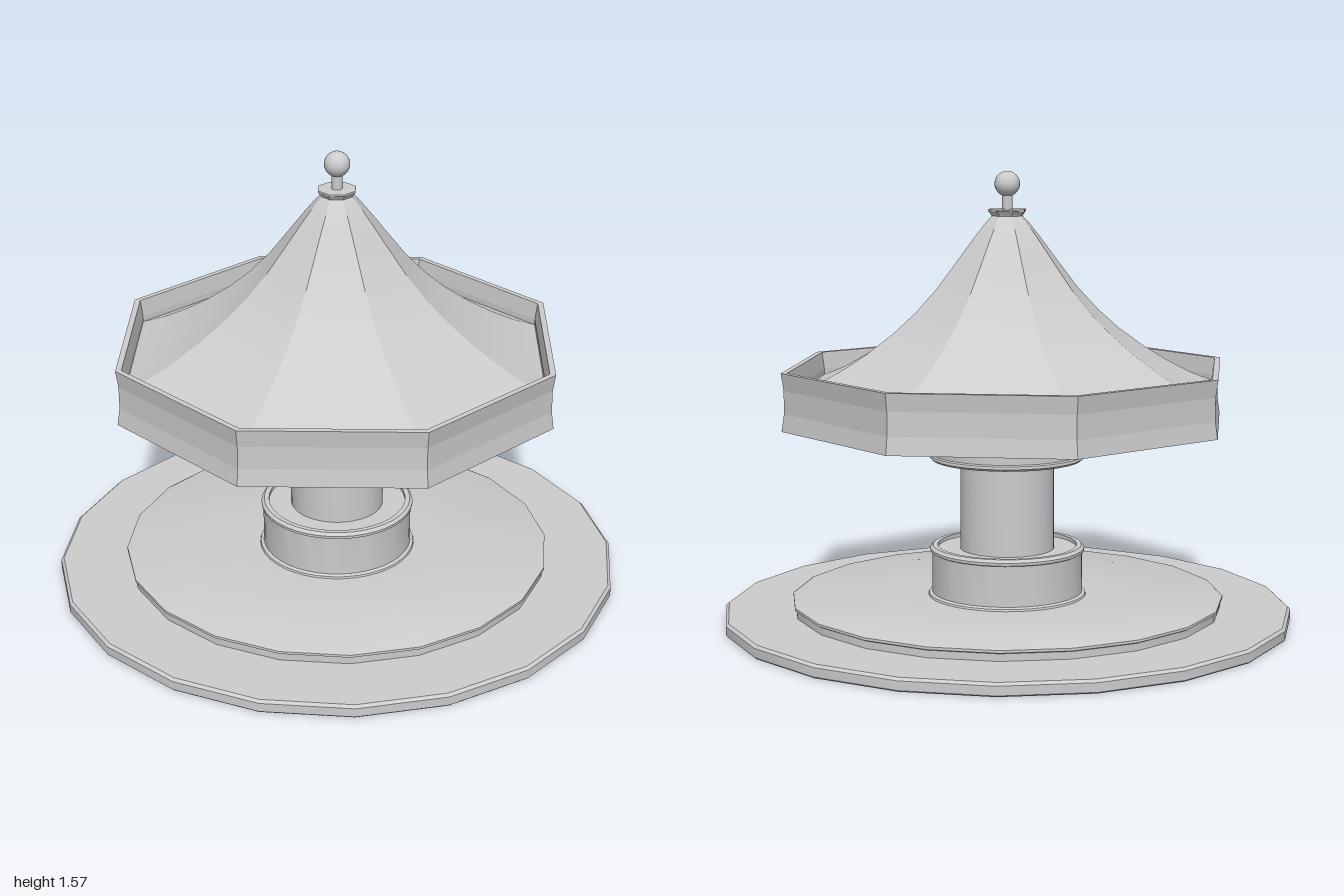
import * as THREE from 'three';
import { toCreasedNormals } from 'three/addons/utils/BufferGeometryUtils.js';

const grey = new THREE.MeshStandardMaterial({ color: 0xcccccc });
grey.name = 'plain grey';

// Turned part from [radius, height] points, listed upwards along the outside
function turned(name, points, sides, crease = 0.52) {
  const profile = points.map(([r, y]) => new THREE.Vector2(r, y));
  const geometry = toCreasedNormals(new THREE.LatheGeometry(profile, sides), crease);
  const mesh = new THREE.Mesh(geometry, grey);
  mesh.name = name;
  return mesh;
}

export function createModel() {
  const model = new THREE.Group();
  model.name = 'carousel';

  // Stepped twenty-sided platform, a thin shell that is hollow underneath
  model.add(turned('lowerPlatform', [
    [0.988, 0], [0.995, 0], [1, 0.005], [1, 0.036], [0.99, 0.045], [0.75, 0.045],
    [0.75, 0.035], [0.988, 0.035], [0.988, 0],
  ], 20));
  model.add(turned('upperPlatform', [
    [0.745, 0.035], [0.752, 0.035], [0.752, 0.07], [0.76, 0.074], [0.76, 0.083], [0.75, 0.088],
    [0.26, 0.088], [0.26, 0.078], [0.745, 0.078], [0.745, 0.035],
  ], 20));

  // Lower drum with a foot ring, a rounded lip, a sunken top and an open bottom
  model.add(turned('lowerDrum', [
    [0.258, 0.078], [0.265, 0.078], [0.265, 0.088], [0.278, 0.088], [0.276, 0.095], [0.265, 0.1],
    [0.265, 0.242], [0.271, 0.245], [0.272, 0.255], [0.262, 0.265], [0.245, 0.265], [0.245, 0.252],
    [0.158, 0.252], [0.158, 0.243], [0.258, 0.243], [0.258, 0.078],
  ], 40));

  // Hollow centre column
  model.add(turned('column', [
    [0.158, 0.243], [0.165, 0.243], [0.165, 0.59], [0.158, 0.59], [0.158, 0.243],
  ], 40));

  // Upper drum, the lower one mirrored: sunken underside and lip at the bottom
  model.add(turned('upperDrum', [
    [0, 0.583], [0.245, 0.583], [0.245, 0.57], [0.262, 0.57], [0.272, 0.578], [0.271, 0.588],
    [0.265, 0.592], [0.265, 0.725],
  ], 40));

  // Eight-sided canopy: floor, slightly hollowed fascia and sweeping roof
  model.add(turned('canopyFloor', [[0, 0.72], [0.785, 0.72]], 8));
  model.add(turned('fascia', [
    [0.775, 0.7], [0.797, 0.7], [0.788, 0.76], [0.788, 0.84], [0.797, 0.9],
    [0.775, 0.9], [0.766, 0.84], [0.766, 0.76], [0.775, 0.7],
  ], 8, 0.1));
  model.add(turned('roof', [
    [0.775, 0.815], [0.68, 0.853], [0.59, 0.9], [0.5, 0.955], [0.41, 1.02], [0.33, 1.09],
    [0.255, 1.17], [0.185, 1.26], [0.12, 1.345], [0.075, 1.4], [0.055, 1.42],
  ], 8, 0.3));

  // Finial: flared collar, stem and ball
  model.add(turned('collar', [
    [0.05, 1.405], [0.055, 1.42], [0.068, 1.437], [0.068, 1.443], [0, 1.443],
  ], 8));
  model.add(turned('stem', [[0.018, 1.44], [0.018, 1.51]], 16));
  const ball = new THREE.Mesh(new THREE.SphereGeometry(0.044, 24, 16), grey);
  ball.name = 'ball';
  ball.position.y = 1.53;
  model.add(ball);

  return model;
}
